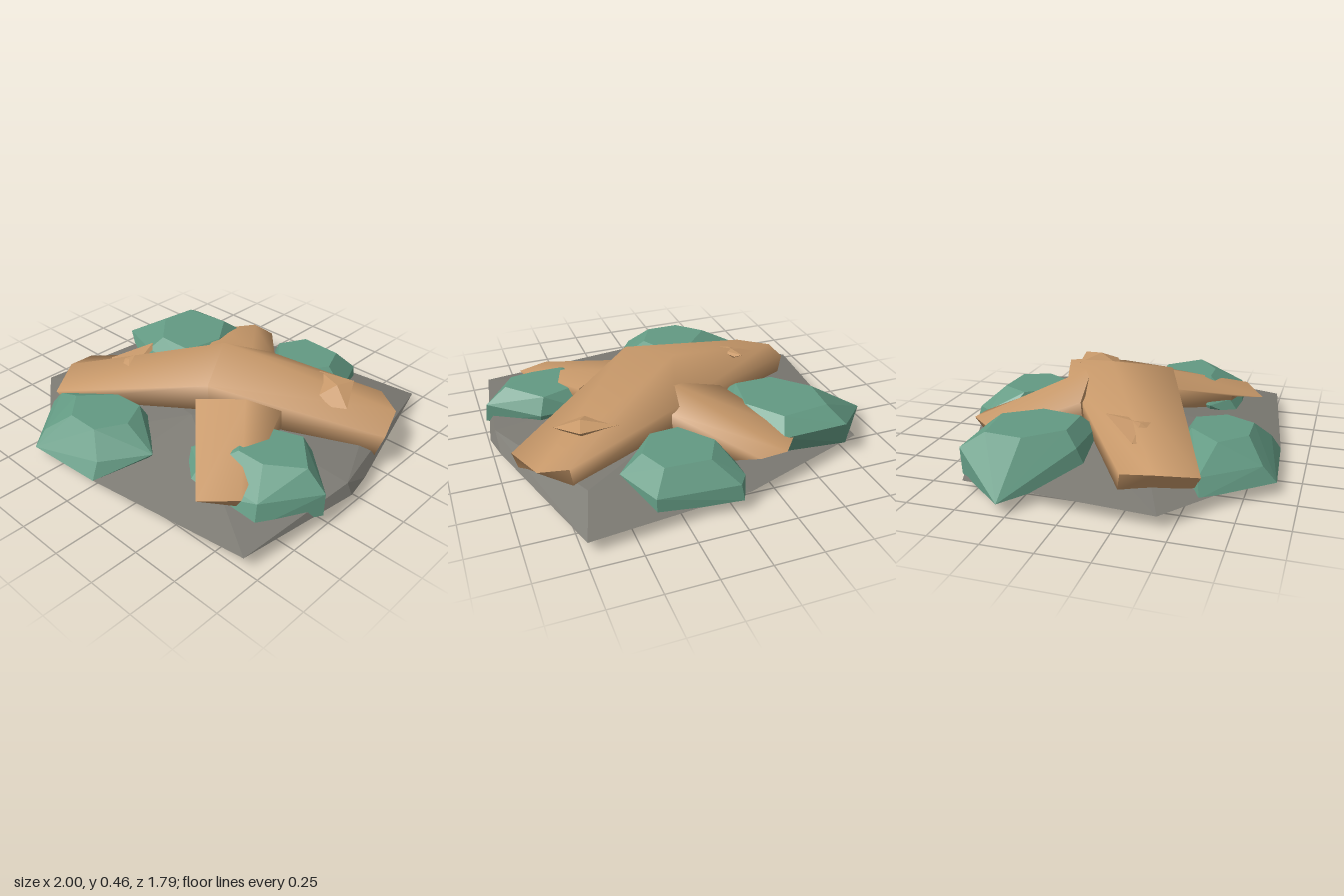
import * as THREE from 'three';
import { ConvexGeometry } from 'three/addons/geometries/ConvexGeometry.js';

const mat = (name, color) => Object.assign(new THREE.MeshStandardMaterial({ color }), { name });

// Loft through cross-sections (counter-clockwise about the travel direction): smooth sides, flat capped ends.
function loft(sections) {
  const n = sections[0].length;
  const sides = [];
  for (let i = 0; i < sections.length - 1; i++) {
    for (let j = 0; j < n; j++) {
      const k = (j + 1) % n;
      const a = i * n + j, b = i * n + k, c = a + n, d = b + n;
      sides.push(a, b, c, b, d, c);
    }
  }
  const points = sections.flat();
  const first = points.length;
  const caps = [];
  points.push(...sections[0], ...sections[sections.length - 1]);
  for (let j = 1; j < n - 1; j++) {
    caps.push(first, first + j + 1, first + j);
    caps.push(first + n, first + n + j, first + n + j + 1);
  }
  const geo = new THREE.BufferGeometry();
  geo.setAttribute('position', new THREE.Float32BufferAttribute(points.flat(), 3));
  geo.setIndex([...sides, ...caps]);
  geo.computeVertexNormals();
  return geo;
}

// Faceted solid around a few corner points
const hull = (points) => new ConvexGeometry(points.map((p) => new THREE.Vector3(...p)));
const atHeight = (y, outline) => outline.map(([x, z]) => [x, y, z]);

export function createModel() {
  const group = new THREE.Group();
  const bark = mat('bark', 0xc8996a);
  const leaf = mat('leaf', 0x639a83);
  const soil = mat('soil', 0x7c7a73);
  const add = (name, geo, material) => {
    const mesh = new THREE.Mesh(geo, material);
    mesh.name = name;
    group.add(mesh);
  };

  // Low faceted ground mound
  add('ground', hull([
    ...atHeight(0.065, [[-0.9, 0.43], [-0.82, -0.55], [-0.1, -0.81], [0.73, -0.9],
      [0.97, -0.08], [1, 0.07], [0.91, 0.74], [0.03, 0.86], [-0.4, 0.8]]),
    [-0.3, 0.16, 0.2], [0.1, 0.19, 0.25], [0.35, 0.18, 0.1], [0.2, 0.18, -0.35],
    [-0.25, 0.17, -0.2], [0.65, 0.13, -0.62], [0.97, 0.12, 0.07],
  ]), soil);

  // Bent main root, arching over the mound
  add('mainRoot', loft([
    [[-0.74, 0.08, 0.2], [-0.77, 0.18, 0.22], [-0.76, 0.19, 0.37],
      [-0.64, 0.15, 0.57], [-0.62, 0.09, 0.54], [-0.62, 0.005, 0.32]],
    [[0.1, 0.2, -0.34], [0.12, 0.32, -0.36], [0.03, 0.46, -0.07],
      [0.2, 0.4, 0.23], [0.18, 0.23, 0.2], [0.08, 0.14, -0.03]],
    [[0.7, 0.12, -0.55], [0.72, 0.23, -0.57], [0.86, 0.2, -0.5],
      [0.94, 0.19, -0.28], [0.91, 0.08, -0.25], [0.72, 0.015, -0.42]],
  ]), bark);

  // Side roots
  add('frontRoot', loft([
    [[0.5, 0.18, 0], [0.52, 0.3, 0.03], [0.36, 0.34, 0.12],
      [0.13, 0.3, 0.25], [0.13, 0.18, 0.25], [0.3, 0.12, 0.1]],
    [[0.7, 0.12, 0.56], [0.74, 0.18, 0.57], [0.57, 0.15, 0.69],
      [0.42, 0.19, 0.53], [0.43, 0.11, 0.52], [0.64, 0.02, 0.5]],
  ]), bark);
  add('backRoot', loft([
    [[-0.2, 0.16, -0.16], [-0.2, 0.29, -0.17], [0.11, 0.39, -0.21],
      [0.15, 0.29, -0.36], [0.13, 0.16, -0.36], [-0.02, 0.1, -0.25]],
    [[-0.43, 0.09, -0.55], [-0.45, 0.18, -0.57], [-0.32, 0.19, -0.73],
      [-0.18, 0.18, -0.73], [-0.08, 0.11, -0.6], [-0.24, 0.02, -0.57]],
  ]), bark);

  // Broken twig stubs on the main root
  add('leftStub', hull([
    [-0.57, 0.25, 0.22], [-0.42, 0.33, 0.04], [-0.39, 0.31, 0.07], [-0.33, 0.28, 0.3],
    [-0.47, 0.22, 0.37], [-0.42, 0.3, 0.22], [-0.45, 0.2, 0.25],
  ]), bark);
  add('rightStub', hull([
    [0.43, 0.31, -0.4], [0.63, 0.32, -0.43], [0.6, 0.33, -0.32], [0.72, 0.27, -0.25],
    [0.52, 0.26, -0.15], [0.47, 0.3, -0.36], [0.58, 0.2, -0.3],
  ]), bark);

  // Bushes: base outline, widest points and flat crown
  add('frontLeftBush', hull([
    ...atHeight(0.064, [[-0.68, 0.57], [-0.4, 0.89], [0.03, 0.86], [0.1, 0.6], [-0.1, 0.4], [-0.35, 0.42]]),
    ...atHeight(0.14, [[-0.62, 0.55], [-0.4, 0.82], [0.01, 0.81], [0.16, 0.58], [-0.1, 0.37], [-0.35, 0.38]]),
    ...atHeight(0.24, [[-0.26, 0.44], [-0.1, 0.43], [-0.02, 0.58], [-0.1, 0.73], [-0.28, 0.73], [-0.41, 0.6]]),
  ]), leaf);
  add('backLeftBush', hull([
    ...atHeight(0.064, [[-1, -0.29], [-0.74, -0.59], [-0.33, -0.58], [-0.22, -0.3], [-0.28, 0], [-0.57, 0]]),
    ...atHeight(0.19, [[-0.77, -0.31], [-0.72, -0.61], [-0.36, -0.62], [-0.2, -0.3], [-0.27, -0.06], [-0.57, -0.06]]),
    ...atHeight(0.26, [[-0.66, -0.5], [-0.4, -0.53], [-0.27, -0.35], [-0.31, -0.13], [-0.52, -0.13], [-0.68, -0.3]]),
  ]), leaf);
  add('backBush', hull([
    ...atHeight(0.064, [[-0.04, -0.86], [0.38, -0.82], [0.46, -0.56], [0.29, -0.42], [0.05, -0.47], [-0.06, -0.65]]),
    ...atHeight(0.14, [[-0.08, -0.77], [-0.03, -0.84], [0.38, -0.81], [0.48, -0.56], [0.29, -0.39], [0.05, -0.45], [-0.08, -0.65]]),
    ...atHeight(0.24, [[0.08, -0.73], [0.31, -0.72], [0.37, -0.57], [0.28, -0.42], [0.13, -0.41], [0, -0.58]]),
  ]), leaf);
  add('frontRightBush', hull([
    ...atHeight(0.064, [[0.53, 0.08], [0.73, 0.07], [0.99, 0.28], [0.82, 0.57], [0.4, 0.6], [0.33, 0.43]]),
    ...atHeight(0.17, [[0.51, 0.05], [0.73, 0.04], [0.98, 0.26], [0.8, 0.53], [0.42, 0.52], [0.28, 0.43]]),
    ...atHeight(0.26, [[0.5, 0.15], [0.7, 0.08], [0.87, 0.26], [0.7, 0.38], [0.55, 0.38], [0.44, 0.24]]),
  ]), leaf);

  return group;
}
